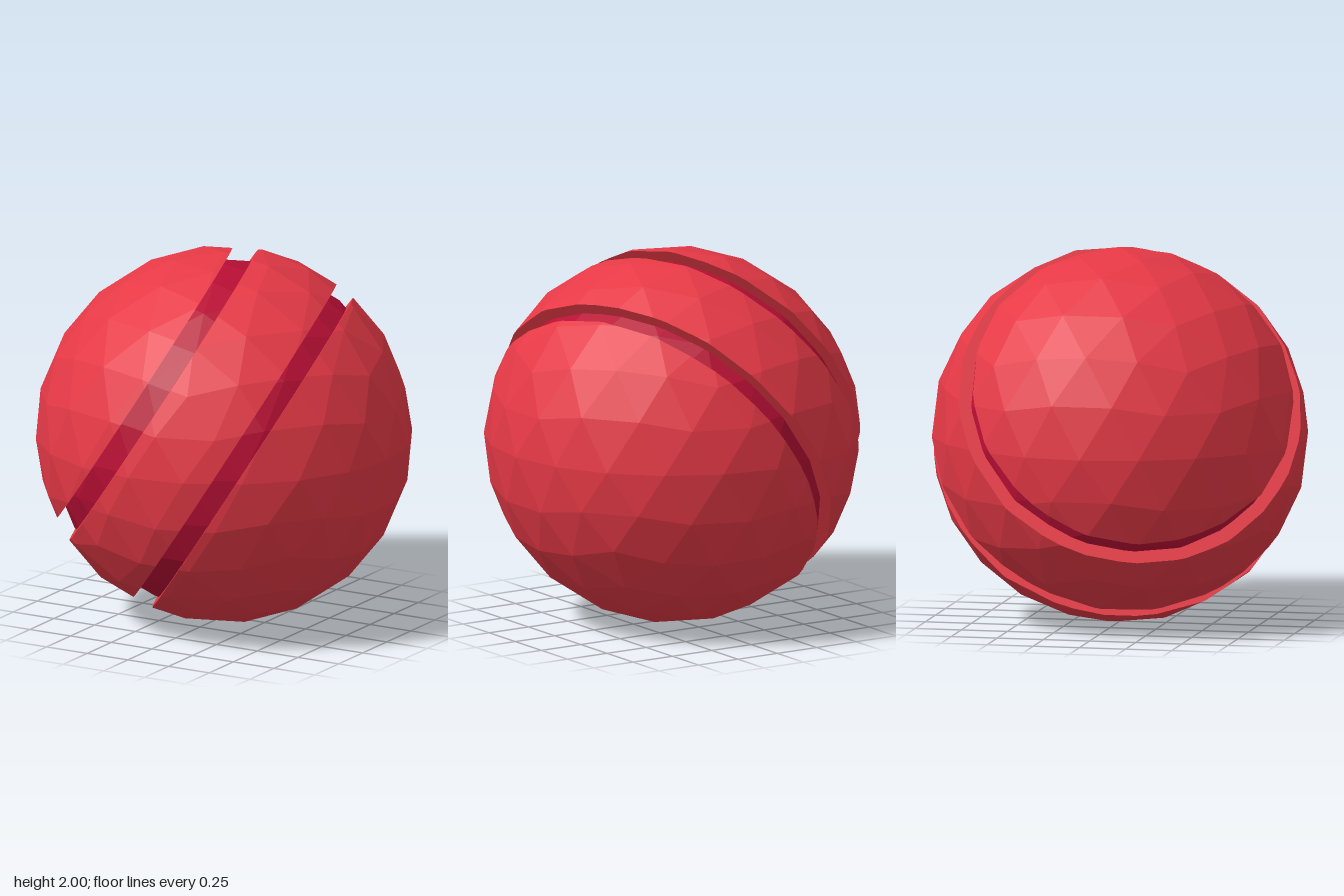
import * as THREE from 'three';

const shellRed = new THREE.MeshStandardMaterial({ color: 0xe63946, flatShading: true });
shellRed.name = 'bright red';
const grooveRed = new THREE.MeshStandardMaterial({ color: 0xb80f34, flatShading: true });
grooveRed.name = 'deep crimson';

// Normal shared by all the slicing planes
const axis = new THREE.Vector3(0.787, -0.53, -0.316).normalize();

// Icosphere with a corner at each pole, halved twice (320 faces)
function icosphere(radius) {
  const ring = Math.sqrt(0.8), h = Math.sqrt(0.2);
  let points = [0, 1, 0];
  for (const [y, turn] of [[h, 0], [-h, 0.5]]) {
    for (let i = 0; i < 5; i++) {
      const a = (i + turn) * Math.PI * 0.4;
      points.push(ring * Math.cos(a), y, -ring * Math.sin(a));
    }
  }
  points.push(0, -1, 0);
  let faces = [];
  for (let i = 0; i < 5; i++) {
    const j = (i + 1) % 5;
    faces.push(0, 1 + i, 1 + j, 1 + i, 6 + i, 1 + j, 1 + j, 6 + i, 6 + j, 11, 6 + j, 6 + i);
  }
  let geometry;
  for (let step = 0; step < 2; step++) {
    geometry = new THREE.PolyhedronGeometry(points, faces, radius, 1);
    points = Array.from(geometry.attributes.position.array);
    faces = points.slice(0, points.length / 3).map((_, i) => i);
  }
  return geometry;
}

// Keep the part of a polygon where side * (axis.p - d) <= 0
function clip(poly, d, side) {
  const out = [];
  poly.forEach((p, i) => {
    const q = poly[(i + 1) % poly.length];
    const a = side * (p.dot(axis) - d), b = side * (q.dot(axis) - d);
    if (a <= 0) out.push(p);
    if (a * b < 0) out.push(p.clone().lerp(q, a / (a - b)));
  });
  return out;
}

// Solid slice of the sphere between two planes, with flat cut faces
function slice(sphere, low, high) {
  const pos = sphere.attributes.position, verts = [];
  const cuts = [[low, -1], [high, 1]].filter(([d]) => Number.isFinite(d));
  const add = (...ps) => ps.forEach((p) => verts.push(p.x, p.y, p.z));
  for (let i = 0; i < pos.count; i += 3) {
    let poly = [0, 1, 2].map((k) => new THREE.Vector3().fromBufferAttribute(pos, i + k));
    for (const [d, side] of cuts) poly = clip(poly, d, side);
    if (poly.length < 3) continue;
    for (let k = 1; k < poly.length - 1; k++) add(poly[0], poly[k], poly[k + 1]);
    // Close the cut by joining its rim edges to the middle of the plane
    for (const [d] of cuts) {
      const onCut = (p) => Math.abs(p.dot(axis) - d) < 1e-6;
      poly.forEach((p, k) => {
        const q = poly[(k + 1) % poly.length];
        if (onCut(p) && onCut(q)) add(q, p, axis.clone().multiplyScalar(d));
      });
    }
  }
  const geometry = new THREE.BufferGeometry();
  geometry.setAttribute('position', new THREE.Float32BufferAttribute(verts, 3));
  geometry.computeVertexNormals();
  return geometry;
}

export function createModel() {
  const model = new THREE.Group();
  model.name = 'slicedBall';
  const add = (name, geometry, material) => {
    const mesh = new THREE.Mesh(geometry, material);
    mesh.name = name;
    mesh.position.y = 1;
    model.add(mesh);
  };

  // Outer shell in three slices
  const sphere = icosphere(1);
  add('upperCap', slice(sphere, -Infinity, -0.5), shellRed);
  add('middleBand', slice(sphere, -0.38, 0.067), shellRed);
  add('lowerCap', slice(sphere, 0.18, Infinity), shellRed);

  // Darker core that shows at the bottom of the grooves
  add('core', icosphere(0.935), grooveRed);
  return model;
}
